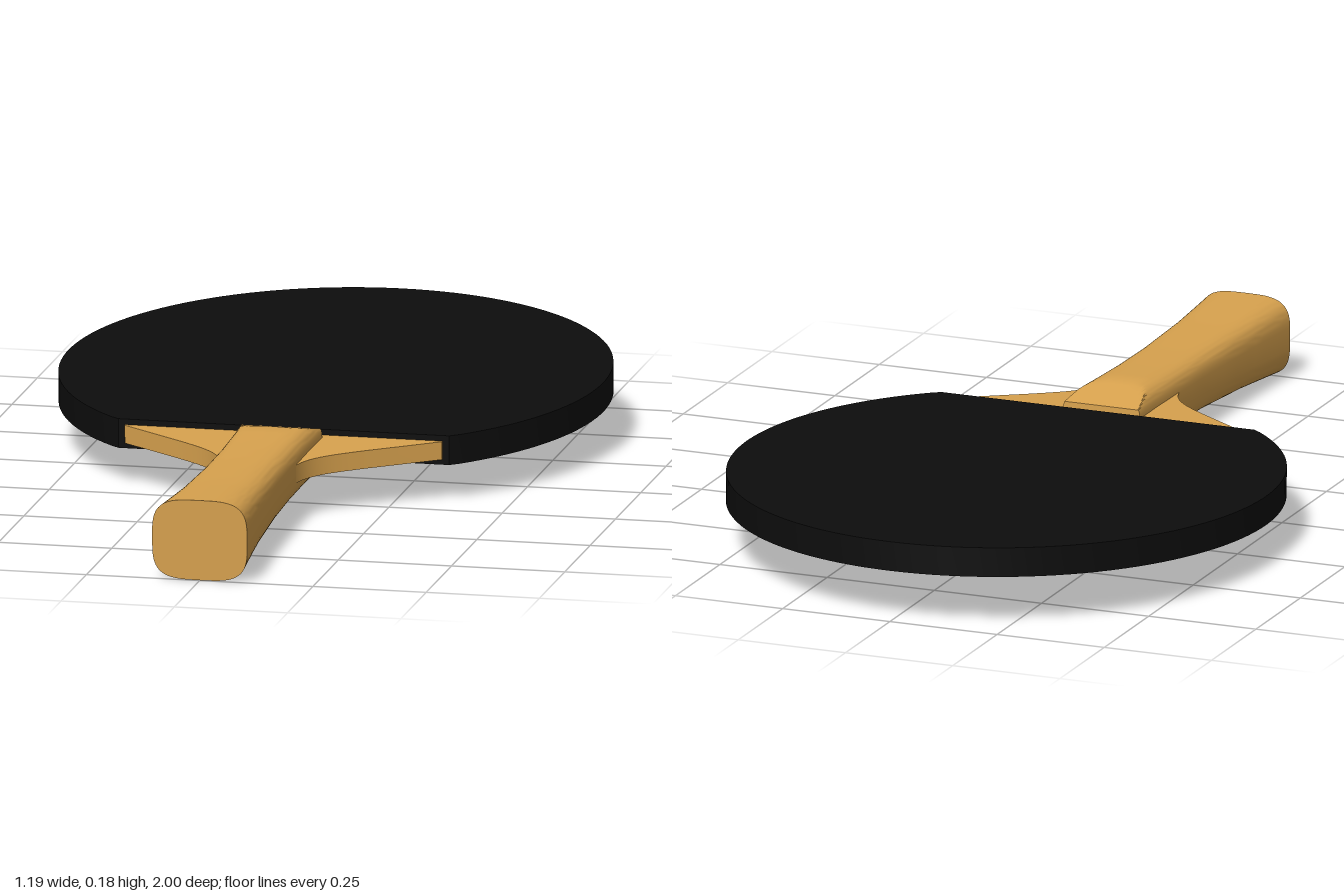
import * as THREE from 'three';
import { toCreasedNormals } from 'three/addons/utils/BufferGeometryUtils.js';

const wood = new THREE.MeshStandardMaterial({ color: 0xd8a24e });
const black = new THREE.MeshStandardMaterial({ color: 0x0d0d0d });

// Flat slab lying in xz, centred on y = 0; the shape's y axis points to -z
function slab(shape, thickness) {
  const geo = new THREE.ExtrudeGeometry(shape, { depth: thickness, bevelEnabled: false, curveSegments: 20 });
  geo.translate(0, 0, -thickness / 2).rotateX(-Math.PI / 2);
  return toCreasedNormals(geo, 0.4);
}

// Oval blade with a straight edge toward the handle
function bladeShape() {
  const pts = [new THREE.Vector2(-0.365, -0.17), new THREE.Vector2(0.365, -0.17)];
  const a0 = -0.87, a1 = Math.PI - a0, n = 96;
  for (let i = 0; i <= n; i++) {
    const a = a0 + (a1 - a0) * i / n;
    pts.push(new THREE.Vector2(0.595 * Math.cos(a), 0.345 + 0.655 * Math.sin(a)));
  }
  return new THREE.Shape(pts);
}

// Wooden neck flaring from the handle to the blade
function neckShape() {
  const s = new THREE.Shape();
  s.moveTo(-0.35, -0.15);
  s.lineTo(-0.35, -0.175);
  s.lineTo(-0.21, -0.275);
  s.bezierCurveTo(-0.13, -0.335, -0.085, -0.37, -0.08, -0.46);
  s.lineTo(0.08, -0.46);
  s.bezierCurveTo(0.085, -0.37, 0.13, -0.335, 0.21, -0.275);
  s.lineTo(0.35, -0.175);
  s.lineTo(0.35, -0.15);
  return s;
}

// Handle: rounded-square sections along z, cut by sloped planes near the blade
function handleGeometry() {
  // z, half width, half height, height limit
  const keys = [
    [0.19, 0.09, 0.07, 0.039], [0.3, 0.086, 0.069, 0.069], [0.45, 0.084, 0.068, 1],
    [0.6, 0.085, 0.07, 1], [0.8, 0.092, 0.077, 1], [0.9, 0.098, 0.083, 1], [1, 0.105, 0.089, 1],
  ];
  const rings = [];
  for (let k = 0; k < keys.length - 1; k++) {
    const steps = k === 0 ? 6 : 3;
    for (let i = 0; i < steps; i++) {
      rings.push(keys[k].map((v, j) => v + (keys[k + 1][j] - v) * i / steps));
    }
  }
  rings.push(keys[keys.length - 1]);

  const n = 64, pos = [], idx = [];
  const power = (v) => Math.sign(v) * Math.pow(Math.abs(v), 2 / 3.6);
  for (const [z, w, h, limit] of rings) {
    for (let i = 0; i < n; i++) {
      const a = i / n * Math.PI * 2;
      const y = THREE.MathUtils.clamp(h * power(Math.sin(a)), -limit, limit);
      pos.push(w * power(Math.cos(a)), y, z);
    }
  }
  const last = rings.length - 1, c0 = rings.length * n, c1 = c0 + 1;
  pos.push(0, 0, rings[0][0], 0, 0, rings[last][0]);
  for (let i = 0; i < n; i++) {
    const j = (i + 1) % n;
    for (let r = 0; r < last; r++) {
      const a = r * n + i, b = r * n + j;
      idx.push(a, b, b + n, a, b + n, a + n);
    }
    idx.push(c0, j, i, c1, last * n + i, last * n + j);
  }
  const geo = new THREE.BufferGeometry();
  geo.setAttribute('position', new THREE.Float32BufferAttribute(pos, 3));
  geo.setIndex(idx);
  return toCreasedNormals(geo, 0.35);
}

export function createModel() {
  const paddle = new THREE.Group();
  paddle.name = 'paddle';
  const add = (name, geo, mat) => {
    const mesh = new THREE.Mesh(geo, mat);
    mesh.name = name;
    paddle.add(mesh);
  };
  add('blade', slab(bladeShape(), 0.065), black);
  add('neck', slab(neckShape(), 0.04), wood);
  add('handle', handleGeometry(), wood);

  // Rests on the handle's end, with the blade slightly raised
  paddle.rotation.x = 0.029;
  paddle.position.y = 0.118;

  const model = new THREE.Group();
  model.add(paddle);
  return model;
}
